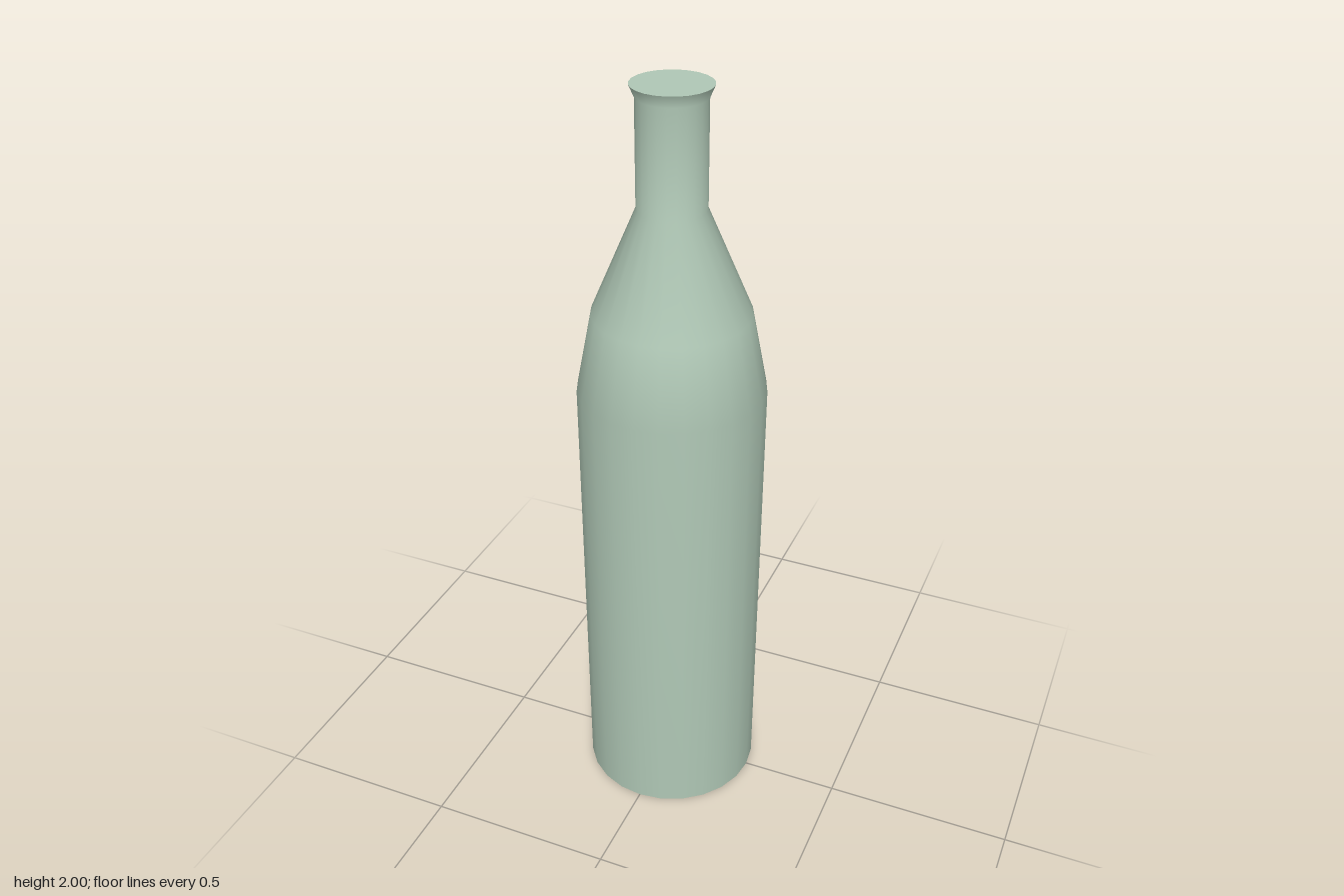
import * as THREE from 'three';

const SIDES = 24;

export function createModel() {
  const bottle = new THREE.Group();
  bottle.name = 'bottle';
  const glass = new THREE.MeshStandardMaterial({ color: 0xb0c8b6 });

  function add(name, geometry) {
    const mesh = new THREE.Mesh(geometry, glass);
    mesh.name = name;
    bottle.add(mesh);
    return mesh;
  }

  // Wall: slightly flared body, two-step shoulder, straight neck and flared lip
  const profile = [
    [0.237, 0], [0.243, 1.22], [0.202, 1.43], [0.087, 1.70], [0.087, 1.97], [0.1, 2],
  ].map(([r, y]) => new THREE.Vector2(r, y));
  add('bottleWall', new THREE.LatheGeometry(profile, SIDES));

  // Flat discs closing the mouth and the base
  const mouth = add('mouthCap', new THREE.CircleGeometry(0.1, SIDES).rotateX(-Math.PI / 2));
  mouth.position.y = 2;
  add('baseCap', new THREE.CircleGeometry(0.237, SIDES).rotateX(Math.PI / 2));

  return bottle;
}
